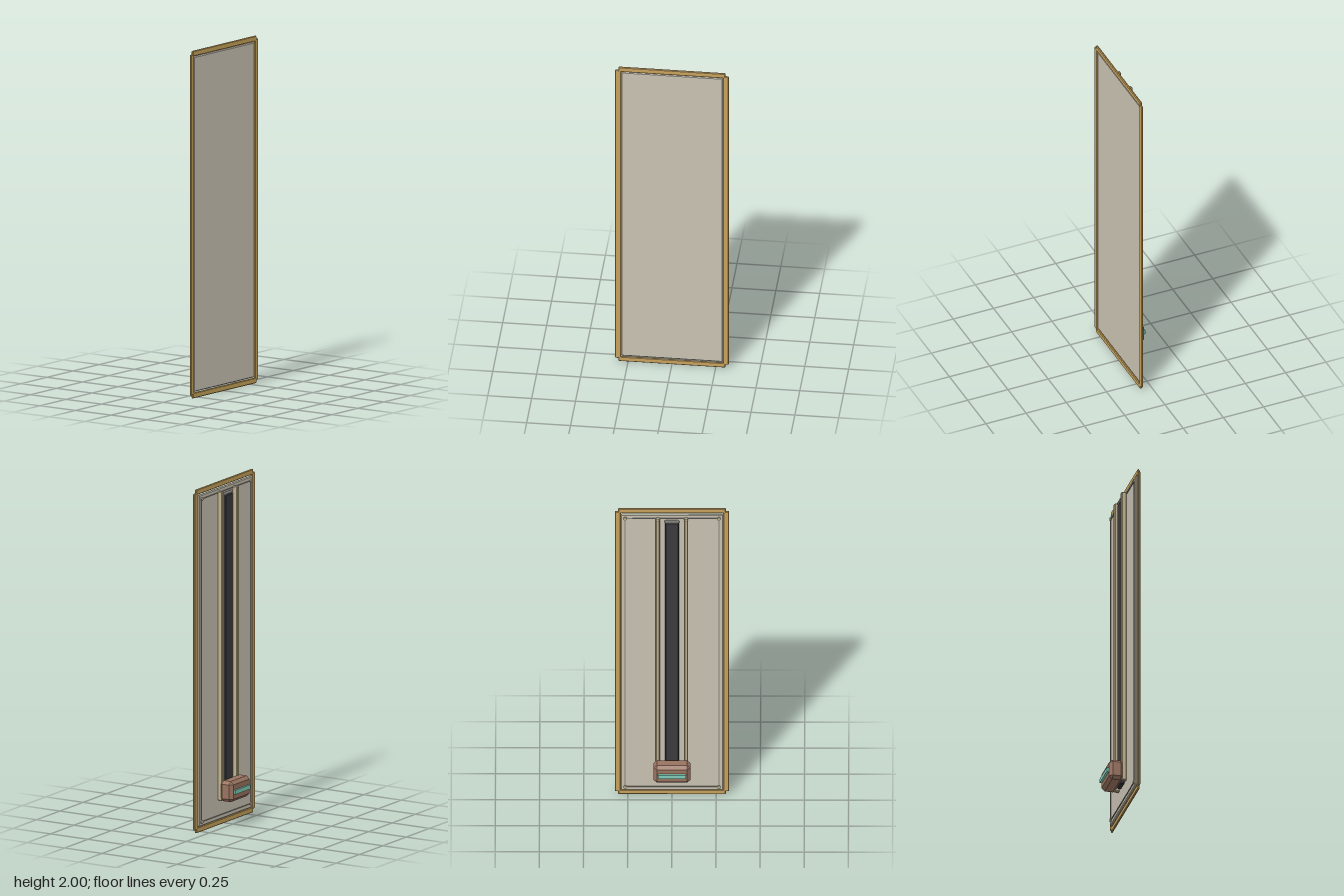
import * as THREE from 'three';
import { ConvexGeometry } from 'three/addons/geometries/ConvexGeometry.js';

const mat = (name, color) => {
  const m = new THREE.MeshStandardMaterial({ color });
  m.name = name;
  return m;
};

// Box with every edge chamfered by c
function chamferBox(w, h, d, c) {
  const pts = [];
  for (const x of [-1, 1]) for (const y of [-1, 1]) for (const z of [-1, 1]) {
    const [a, b, e] = [w / 2, h / 2, d / 2];
    pts.push(
      new THREE.Vector3(x * a, y * (b - c), z * (e - c)),
      new THREE.Vector3(x * (a - c), y * b, z * (e - c)),
      new THREE.Vector3(x * (a - c), y * (b - c), z * e));
  }
  return new ConvexGeometry(pts);
}

export function createModel() {
  const root = new THREE.Group();
  root.name = 'slidingPanel';
  const gold = mat('gold trim', 0xc9a35c);
  const panelMat = mat('warm grey panel', 0xcbc4b4);
  const railMat = mat('pale brass', 0xc0b28e);
  const dark = mat('dark track', 0x3c3b3e);
  const steel = mat('pale steel', 0xc6c4b8);
  const rodMat = mat('grey seam', 0x85837a);
  const brown = mat('brown housing', 0x997360);
  const teal = mat('teal light', 0x84cdb8);

  const add = (name, geometry, material, x, y, z) => {
    const mesh = new THREE.Mesh(geometry, material);
    mesh.name = name;
    mesh.position.set(x, y, z);
    root.add(mesh);
    return mesh;
  };
  // Part given by its limits on each axis
  const block = (name, material, [x0, x1], [y0, y1], [z0, z1], c = 0) => {
    const size = [x1 - x0, y1 - y0, z1 - z0];
    const geo = c ? chamferBox(...size, c) : new THREE.BoxGeometry(...size);
    return add(name, geo, material, (x0 + x1) / 2, (y0 + y1) / 2, (z0 + z1) / 2);
  };

  // Main panel slab
  block('panel', panelMat, [-0.29, 0.29], [0.035, 1.965], [0.046, 0.062], 0.005);

  // Trim frame: side bars stop short of the top and bottom bars
  for (const s of [-1, 1]) {
    const x = s * 0.307, y = 1 + s * 0.984;
    block('frameSide', gold, [x - 0.017, x + 0.017], [0.02, 1.98], [0.054, 0.066], 0.004);
    block('frameEnd', gold, [-0.305, 0.305], [y - 0.016, y + 0.016], [0.054, 0.066], 0.004);
  }

  // Seams and corner studs on the back
  for (const s of [-1, 1]) {
    const x = s * 0.265, y = 1 + s * 0.94;
    block('seamSide', rodMat, [x - 0.003, x + 0.003], [0.06, 1.94], [0.042, 0.048]);
    block('seamEnd', rodMat, [-0.265, 0.265], [y - 0.003, y + 0.003], [0.042, 0.048]);
    for (const t of [-1, 1]) {
      const stud = add('cornerStud', new THREE.CylinderGeometry(0.01, 0.01, 0.01, 12), railMat, x, 1 + t * 0.94, 0.043);
      stud.rotation.x = Math.PI / 2;
    }
  }

  // Guide rails and central track
  for (const s of [-1, 1]) {
    block('guideRail', railMat, [s * 0.08 - 0.012, s * 0.08 + 0.012], [0.15, 1.95], [0.015, 0.047], 0.005);
  }
  block('track', dark, [-0.04, 0.04], [0.15, 1.92], [0.024, 0.046], 0.005);
  block('trackCap', steel, [-0.042, 0.042], [1.92, 1.935], [0.023, 0.04], 0.005);

  // Chamfered carriage with a glowing strip
  block('carriage', brown, [-0.104, 0.104], [0.15, 0.27], [-0.056, 0.028], 0.018);
  block('lightStrip', teal, [-0.08, 0.08], [0.197, 0.222], [-0.068, -0.05]);

  return root;
}
